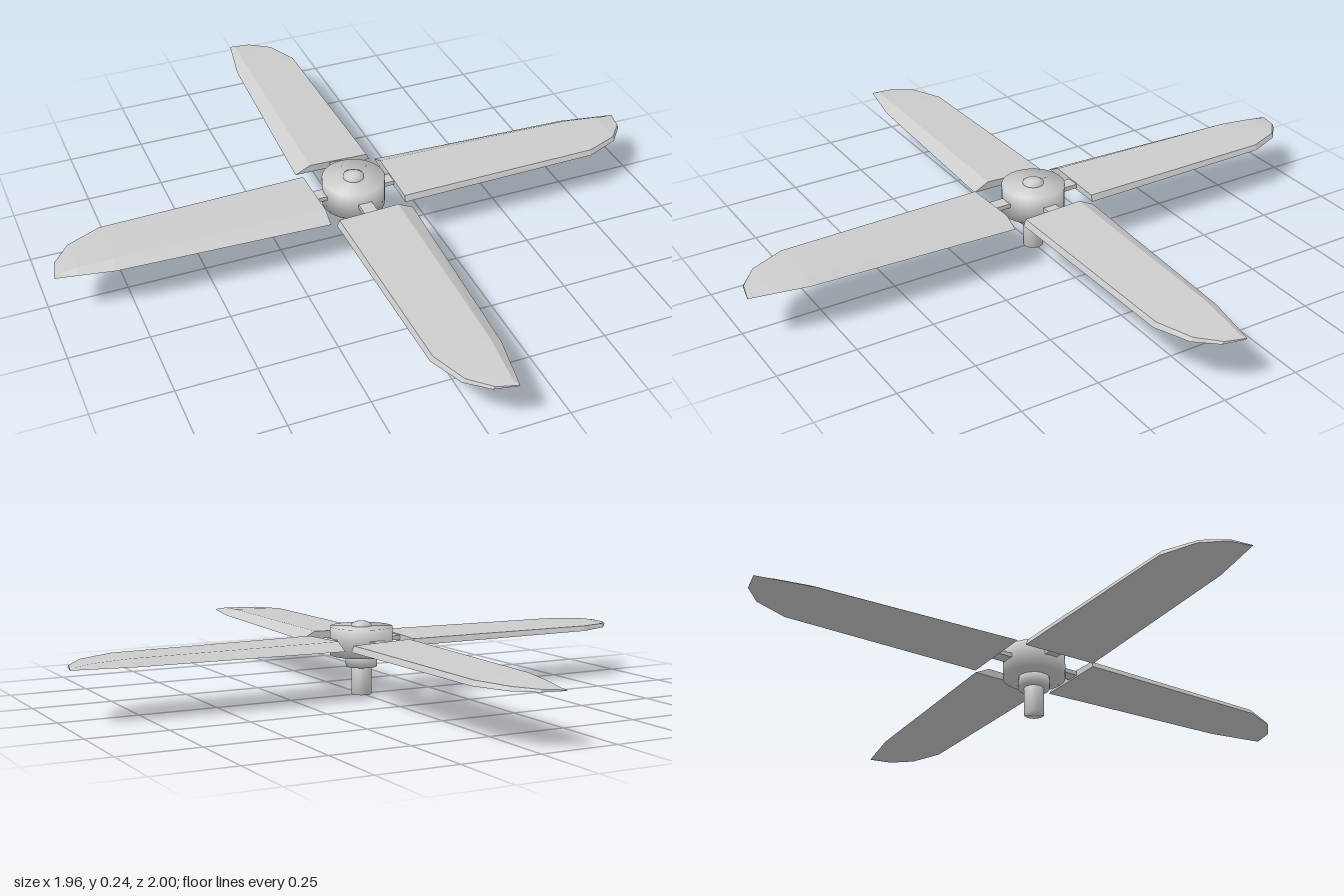
import * as THREE from 'three';

const material = new THREE.MeshStandardMaterial({ color: 0xcccccc });
const bladeMaterial = new THREE.MeshStandardMaterial({ color: 0xcccccc, flatShading: true });

function addMesh(parent, name, geometry, mat = material) {
  const mesh = new THREE.Mesh(geometry, mat);
  mesh.name = name;
  parent.add(mesh);
  return mesh;
}

// Blade along +x, lofted from four-point sections: flat underside,
// thick trailing edge at +z, bevelled thin leading edge at -z
function bladeGeometry() {
  // x, leading z, ridge z, trailing z, trailing top y, ridge top y
  const stations = [
    [0.13, -0.14, -0.09, 0.115, 0.182, 0.189],
    [0.8, -0.113, -0.078, 0.105, 0.178, 0.185],
    [0.91, -0.093, -0.07, 0.06, 0.174, 0.178],
    [0.965, -0.083, -0.068, -0.005, 0.169, 0.17],
    [0.98, -0.08, -0.079, -0.077, 0.165, 0.165],
  ];
  const bottom = 0.162;
  const positions = [];
  for (const [x, lead, ridge, trail, trailTop, ridgeTop] of stations) {
    const inset = Math.min(0.008, (trail - ridge) * 0.3);
    positions.push(
      x, bottom + 0.002, lead,
      x, ridgeTop, ridge,
      x, trailTop, trail - inset,
      x, bottom, trail,
    );
  }
  const indices = [];
  const last = (stations.length - 1) * 4;
  for (let s = 0; s < last; s += 4) {
    for (let i = 0; i < 4; i++) {
      const a = s + i, b = s + (i + 1) % 4;
      indices.push(a, b, b + 4, a, b + 4, a + 4);
    }
  }
  // Root and tip ends
  indices.push(0, 2, 1, 0, 3, 2);
  indices.push(last, last + 1, last + 2, last, last + 2, last + 3);
  const geometry = new THREE.BufferGeometry();
  geometry.setAttribute('position', new THREE.Float32BufferAttribute(positions, 3));
  geometry.setIndex(indices);
  geometry.computeVertexNormals();
  return geometry;
}

// Solid of revolution with softly shaded rims
function turned(points) {
  return new THREE.LatheGeometry(points.map(([r, y]) => new THREE.Vector2(r, y)), 32);
}

export function createModel() {
  const model = new THREE.Group();
  model.name = 'rotor';

  // Hub, collar, shaft and top cap
  addMesh(model, 'hub', turned([[0, 0.127], [0.1, 0.127], [0.1, 0.218], [0, 0.22]]));
  addMesh(model, 'collar', turned([[0, 0.09], [0.05, 0.09], [0.05, 0.13], [0, 0.13]]));
  addMesh(model, 'shaft', turned([[0, 0], [0.032, 0], [0.032, 0.1], [0, 0.1]]));
  addMesh(model, 'topCap', turned([[0, 0.21], [0.033, 0.21], [0.033, 0.225], [0.02, 0.233], [0, 0.236]]));

  // Four blades with their arms; the z pair sits slightly further out
  const blade = bladeGeometry();
  for (let i = 0; i < 4; i++) {
    const offset = i % 2 ? 0.02 : 0;
    const arm = new THREE.Group();
    arm.name = 'bladeAssembly' + (i + 1);
    arm.rotation.y = i * Math.PI / 2;
    addMesh(arm, 'blade', blade, bladeMaterial).position.x = offset;
    addMesh(arm, 'arm', new THREE.BoxGeometry(0.08 + offset, 0.014, 0.044))
      .position.set(0.1 + offset / 2, 0.175, 0);
    model.add(arm);
  }
  return model;
}
